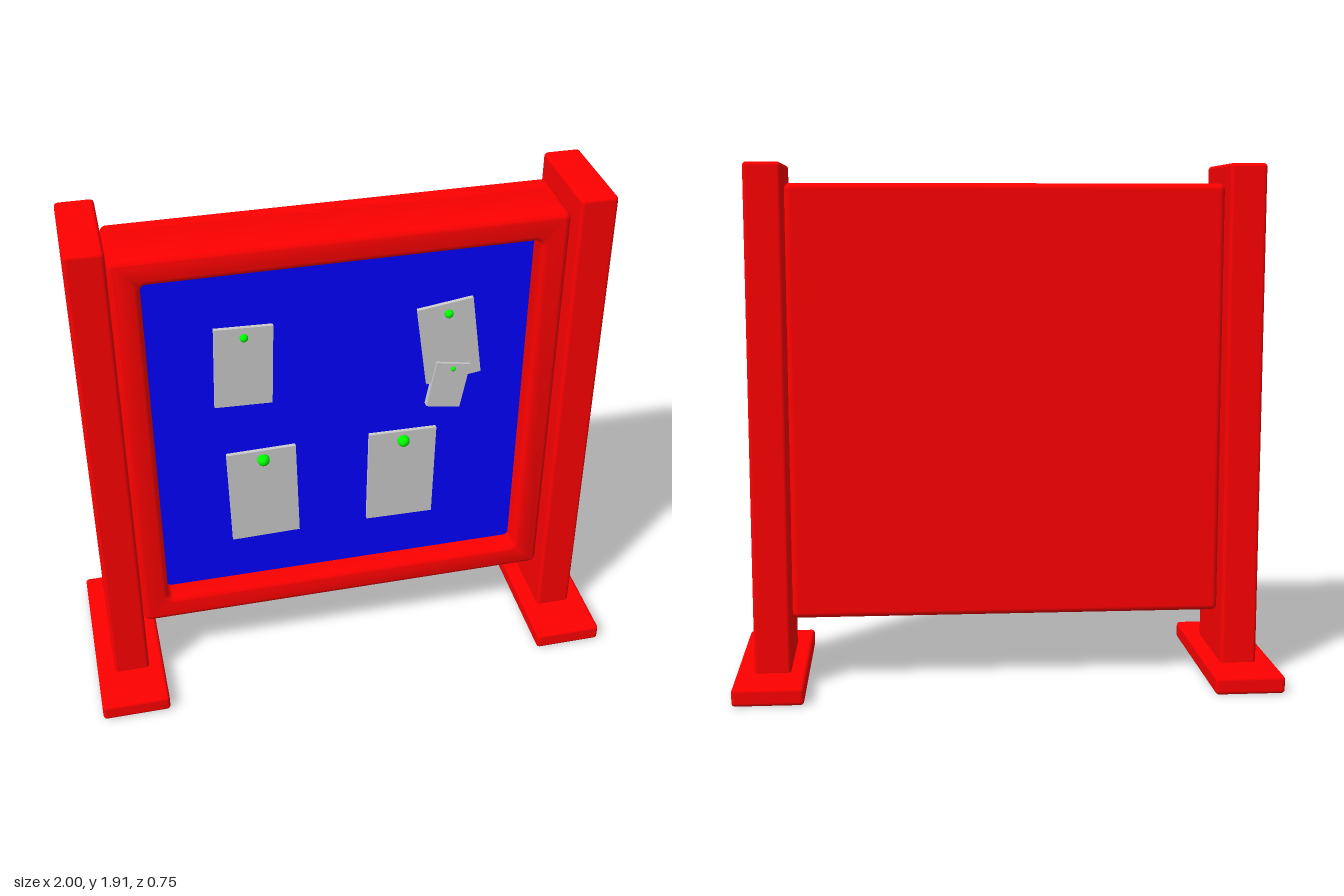
import * as THREE from 'three';
import { RoundedBoxGeometry } from 'three/addons/geometries/RoundedBoxGeometry.js';
import { toCreasedNormals } from 'three/addons/utils/BufferGeometryUtils.js';

const material = (color) => new THREE.MeshStandardMaterial({ color });

// Rounded square outline centred on the origin
function roundedSquare(target, half, r) {
  const k = half - r;
  target.absarc(k, k, r, 0, Math.PI / 2);
  target.absarc(-k, k, r, Math.PI / 2, Math.PI);
  target.absarc(-k, -k, r, Math.PI, Math.PI * 1.5);
  target.absarc(k, -k, r, Math.PI * 1.5, Math.PI * 2);
  target.closePath();
  return target;
}

export function createModel() {
  const model = new THREE.Group();
  model.name = 'noticeBoard';
  const red = material(0xff0000), blue = material(0x0000ff);
  const green = material(0x00ff00), grey = material(0xcccccc);

  function add(parent, name, geometry, mat, x, y, z) {
    const mesh = new THREE.Mesh(geometry, mat);
    mesh.name = name;
    mesh.position.set(x, y, z);
    parent.add(mesh);
    return mesh;
  }

  // Uprights and feet, mirrored
  for (const [side, s] of [['left', 1], ['right', -1]]) {
    add(model, side + 'Post', new RoundedBoxGeometry(0.134, 1.86, 0.39, 3, 0.014), red, s * 0.867, 0.985, 0);
    add(model, side + 'Foot', new RoundedBoxGeometry(0.257, 0.066, 0.75, 3, 0.014), red, s * 0.8715, 0.033, 0);
  }

  // Board: frame ring with rounded edges, closed back and pin panel
  const board = new THREE.Group();
  board.name = 'board';
  board.position.y = 1.048;
  model.add(board);

  const bevel = 0.022, half = 0.795;
  const outline = roundedSquare(new THREE.Shape(), half, 0.026);
  outline.holes.push(roundedSquare(new THREE.Path(), 0.694, 0.02));
  const ring = new THREE.ExtrudeGeometry(outline, {
    depth: 0.24 - 2 * bevel, bevelThickness: bevel, bevelSize: bevel,
    bevelOffset: -bevel, bevelSegments: 4, curveSegments: 6,
  });
  add(board, 'frame', toCreasedNormals(ring, 0.7), red, 0, 0, -0.1 + bevel);
  add(board, 'backPanel', new RoundedBoxGeometry(half * 2, half * 2, 0.18, 4, bevel), red, 0, 0, -0.05);
  add(board, 'pinPanel', new THREE.BoxGeometry(1.42, 1.42, 0.04), blue, 0, 0, 0.04);

  // Notes: x, y, width, height, tilt in degrees, front z, then pin x, y, radius
  const notes = [
    [-0.355, 1.335, 0.21, 0.325, -2, 0.075, -0.35, 1.46, 0.015],
    [0.4, 1.335, 0.207, 0.325, 8, 0.075, 0.39, 1.457, 0.016],
    [0.4, 1.15, 0.13, 0.19, -10, 0.085, 0.415, 1.222, 0.009],
    [-0.3, 0.755, 0.26, 0.404, 1.2, 0.075, -0.298, 0.919, 0.023],
    [0.233, 0.757, 0.26, 0.402, -0.8, 0.075, 0.237, 0.919, 0.023],
  ];
  notes.forEach(([x, y, w, h, tilt, z, px, py, r], i) => {
    const depth = z - 0.058;
    const note = add(model, 'note' + (i + 1), new THREE.BoxGeometry(w, h, depth), grey, x, y, z - depth / 2);
    note.rotation.z = THREE.MathUtils.degToRad(tilt);
    add(model, 'pin' + (i + 1), new THREE.SphereGeometry(r, 20, 14), green, px, py, z + r * 0.3);
  });
  return model;
}
